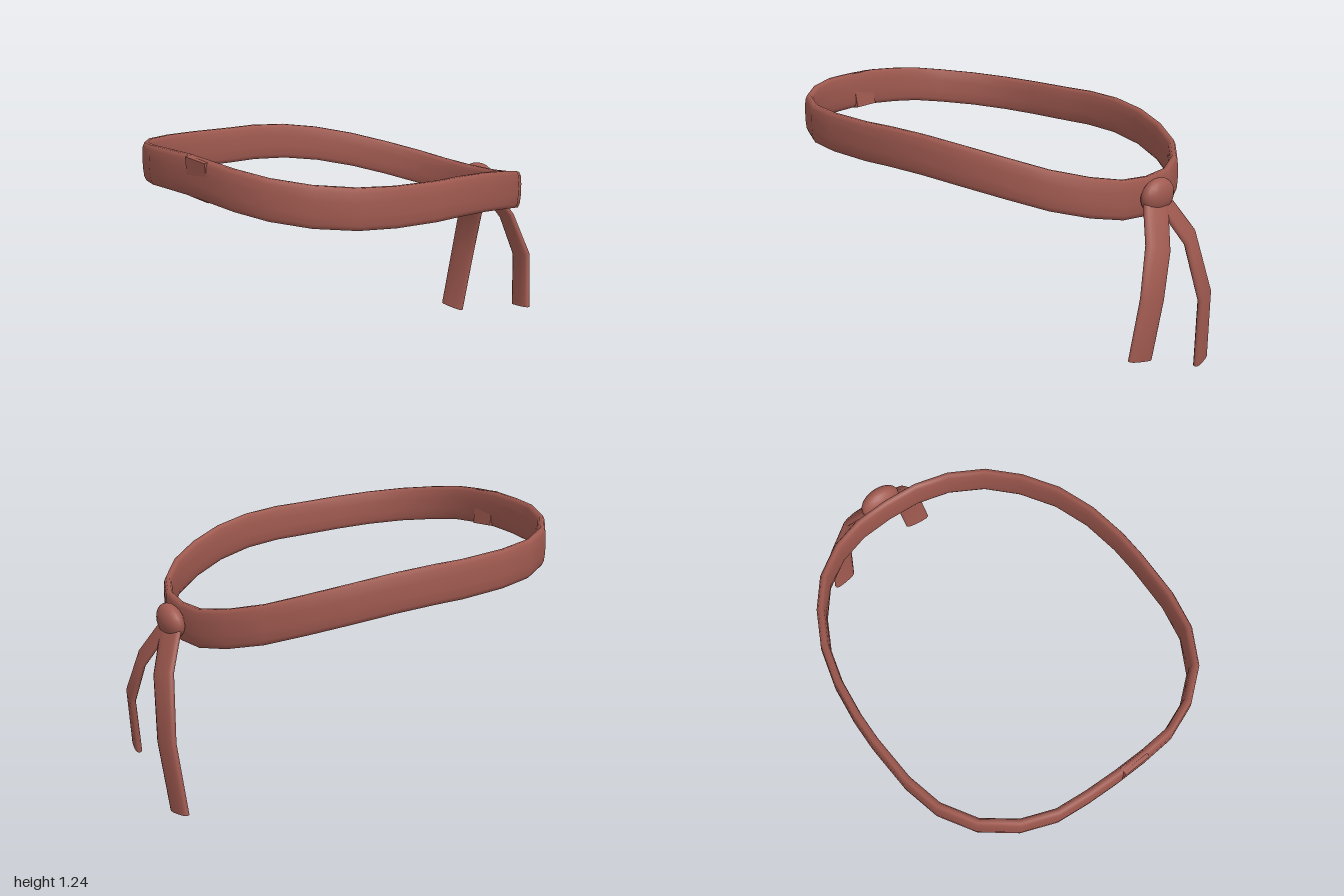
import * as THREE from 'three';

// Soft lens section as [across, through], counter-clockwise
const half = [[1, 0.4], [0.78, 0.82], [0.32, 1], [-0.32, 1], [-0.78, 0.82], [-1, 0.4]];
const SECTION = [...half, ...half.map(([a, b]) => [-a, -b])];
const V = (x, y, z) => new THREE.Vector3(x, y, z);

// Sweep the section along a path; side is the preferred direction of the strap's width
function strap(path, side, halfWidth, halfThick, closed) {
  const n = path.length, m = SECTION.length;
  const pos = [], idx = [];
  path.forEach((p, i) => {
    const prev = closed ? path[(i + n - 1) % n] : path[Math.max(i - 1, 0)];
    const next = closed ? path[(i + 1) % n] : path[Math.min(i + 1, n - 1)];
    const t = next.clone().sub(prev);
    if (closed) t.y = 0; // the loop keeps its width upright
    t.normalize();
    const w = side.clone().addScaledVector(t, -side.dot(t)).normalize();
    const d = t.clone().cross(w);
    for (const [a, b] of SECTION) {
      const q = p.clone().addScaledVector(w, a * halfWidth).addScaledVector(d, b * halfThick);
      pos.push(q.x, q.y, q.z);
    }
  });
  for (let i = 0; i < (closed ? n : n - 1); i++) {
    for (let j = 0; j < m; j++) {
      const k = (j + 1) % m, r = ((i + 1) % n) * m;
      idx.push(i * m + j, i * m + k, r + k, i * m + j, r + k, r + j);
    }
  }
  if (!closed) {
    // separate vertices keep the cut ends sharp
    for (const [ring, flip] of [[0, true], [n - 1, false]]) {
      const base = pos.length / 3;
      pos.push(...pos.slice(ring * m * 3, (ring + 1) * m * 3));
      for (let j = 1; j < m - 1; j++) {
        idx.push(base, base + (flip ? j + 1 : j), base + (flip ? j : j + 1));
      }
    }
  }
  const g = new THREE.BufferGeometry();
  g.setAttribute('position', new THREE.Float32BufferAttribute(pos, 3));
  g.setIndex(idx);
  g.computeVertexNormals();
  return g;
}

export function createModel() {
  const group = new THREE.Group();
  const cloth = new THREE.MeshStandardMaterial({ color: 0xa05a50 });
  cloth.name = 'dusty red cloth';
  const add = (name, geometry) => {
    const mesh = new THREE.Mesh(geometry, cloth);
    mesh.name = name;
    group.add(mesh);
    return mesh;
  };

  // Head loop: half of the centre line from front to back as [x, y, z], then mirrored
  const side = [
    [0, 1.153, 0.97], [0.15, 1.148, 0.966], [0.3, 1.138, 0.952], [0.45, 1.118, 0.893],
    [0.588, 1.097, 0.783], [0.682, 1.077, 0.625], [0.722, 1.062, 0.45], [0.735, 1.047, 0.22],
    [0.732, 1.042, 0.08], [0.711, 1.025, -0.105], [0.662, 0.992, -0.29], [0.576, 0.947, -0.465],
    [0.467, 0.898, -0.613], [0.322, 0.857, -0.72], [0.166, 0.828, -0.777], [0, 0.82, -0.79],
  ].map(p => V(...p));
  const mirrored = side.slice(1, -1).reverse().map(p => V(-p.x, p.y, p.z));
  add('headLoop', strap([...side, ...mirrored], V(0, 1, 0), 0.089, 0.021, true));

  // Overlapping end of the strap, leaning slightly through the front of the loop
  const tab = add('overlapTab', new THREE.BoxGeometry(0.132, 0.176, 0.038));
  tab.position.set(0.078, 1.149, 0.968);
  tab.rotation.set(0.11, 0.04, -0.07);

  // Knot at the back
  const knot = add('knot', new THREE.SphereGeometry(1, 20, 14));
  knot.scale.set(0.105, 0.083, 0.053);
  knot.position.set(0, 0.829, -0.847);
  knot.rotation.x = -0.15;

  // Two hanging tails, the right one longer
  const tails = {
    leftTail: [[0.02, 0.82, -0.85], [0.128, 0.632, -0.942], [0.212, 0.43, -0.975], [0.248, 0.155, -0.945]],
    rightTail: [[-0.02, 0.82, -0.85], [-0.125, 0.632, -0.942], [-0.213, 0.345, -0.977], [-0.252, 0.012, -0.945]],
  };
  for (const [name, points] of Object.entries(tails)) {
    const s = Math.sign(points[0][0]);
    add(name, strap(points.map(p => V(...p)), V(s, 0, 0.2), 0.066, 0.017, false));
  }
  return group;
}
